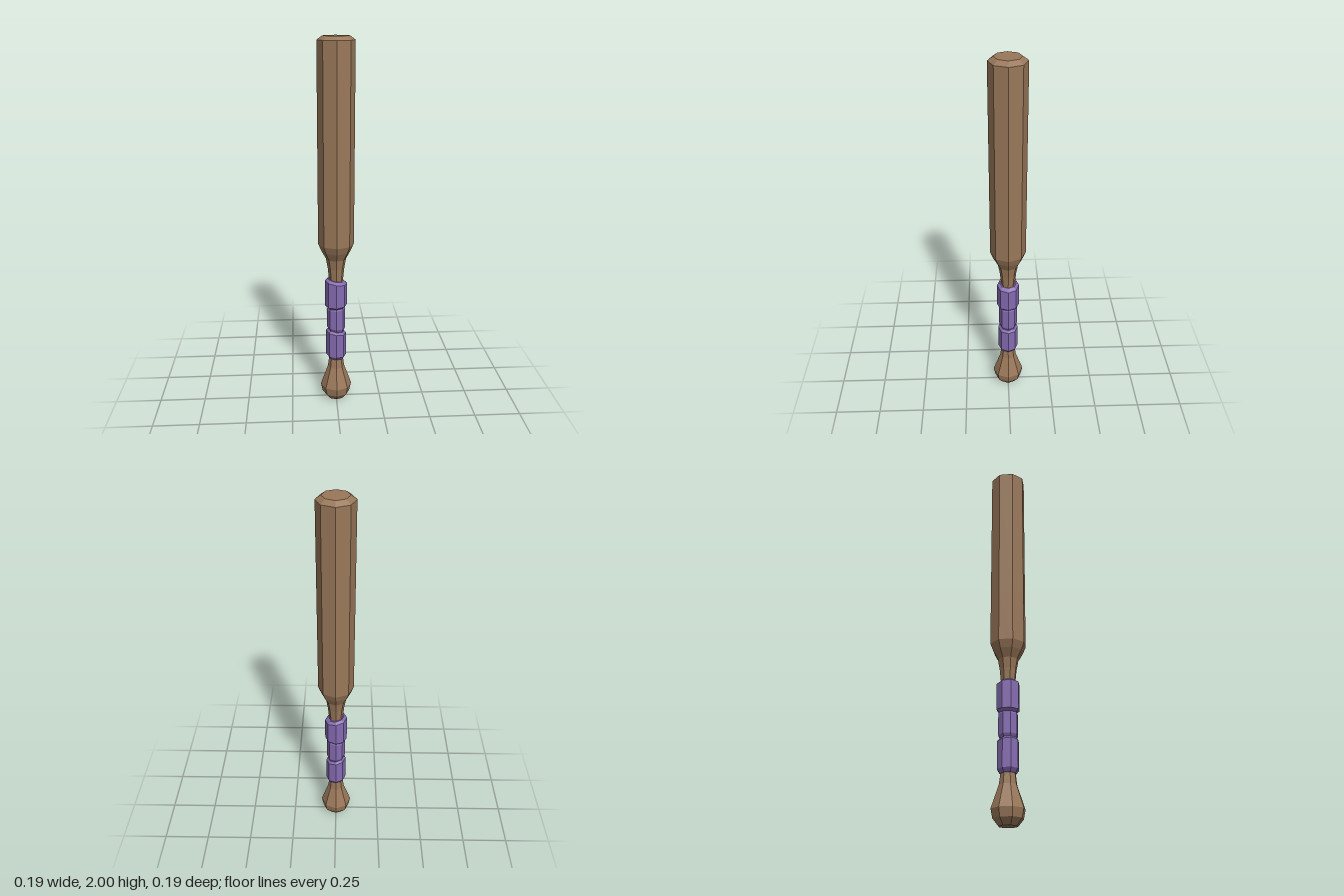
import * as THREE from 'three';

const SIDES = 8;

// Faceted eight-sided turning from [radius, height] pairs, listed bottom to top;
// an optional rule moves the vertices before the facets are shaded.
function turned(name, profile, material, rule) {
  const points = profile.map(([r, y]) => new THREE.Vector2(r, y));
  const lathe = new THREE.LatheGeometry(points, SIDES);
  if (rule) {
    const pos = lathe.attributes.position;
    for (let i = 0; i < pos.count; i++) {
      pos.setY(i, pos.getY(i) + rule(pos.getX(i), pos.getY(i)));
    }
  }
  const geometry = lathe.toNonIndexed();
  geometry.computeVertexNormals();
  const mesh = new THREE.Mesh(geometry, material);
  mesh.name = name;
  return mesh;
}

export function createModel() {
  const wood = new THREE.MeshStandardMaterial({ color: 0x9a785a });
  wood.name = 'brown wood';
  const cloth = new THREE.MeshStandardMaterial({ color: 0x866cb2 });
  cloth.name = 'purple cloth';

  const model = new THREE.Group();
  model.name = 'club';

  // Rounded pommel flaring out below the grip
  model.add(turned('pommel', [
    [0, 0], [0.048, 0], [0.077, 0.035], [0.086, 0.08],
    [0.067, 0.135], [0.046, 0.195], [0.038, 0.255],
  ], wood));

  // Slim handle hidden under the wraps
  model.add(turned('handle', [[0.038, 0.255], [0.038, 0.72]], wood));

  // Thick striking barrel with a bevelled end
  model.add(turned('barrel', [
    [0.038, 0.72], [0.045, 0.79], [0.055, 0.845], [0.08, 0.89],
    [0.096, 0.93], [0.096, 1.2], [0.096, 1.98], [0.068, 2], [0, 2],
  ], wood));

  // Grip wraps: bevelled sleeves whose ends slope across x
  const wraps = [
    { name: 'lowerWrap', bottom: 0.248, top: 0.42, radius: 0.056, slopeBottom: -0.06, slopeTop: -0.17 },
    { name: 'middleWrap', bottom: 0.418, top: 0.562, radius: 0.051, slopeBottom: -0.13, slopeTop: 0.08 },
    { name: 'upperWrap', bottom: 0.552, top: 0.72, radius: 0.061, slopeBottom: 0.08, slopeTop: -0.18 },
  ];
  for (const { name, bottom, top, radius, slopeBottom, slopeTop } of wraps) {
    const slope = (x, y) =>
      x * THREE.MathUtils.mapLinear(y, bottom, top, slopeBottom, slopeTop);
    model.add(turned(name, [
      [0.03, bottom], [0.041, bottom], [radius, bottom + 0.02],
      [radius, top - 0.012], [0.045, top], [0.03, top],
    ], cloth, slope));
  }

  return model;
}
